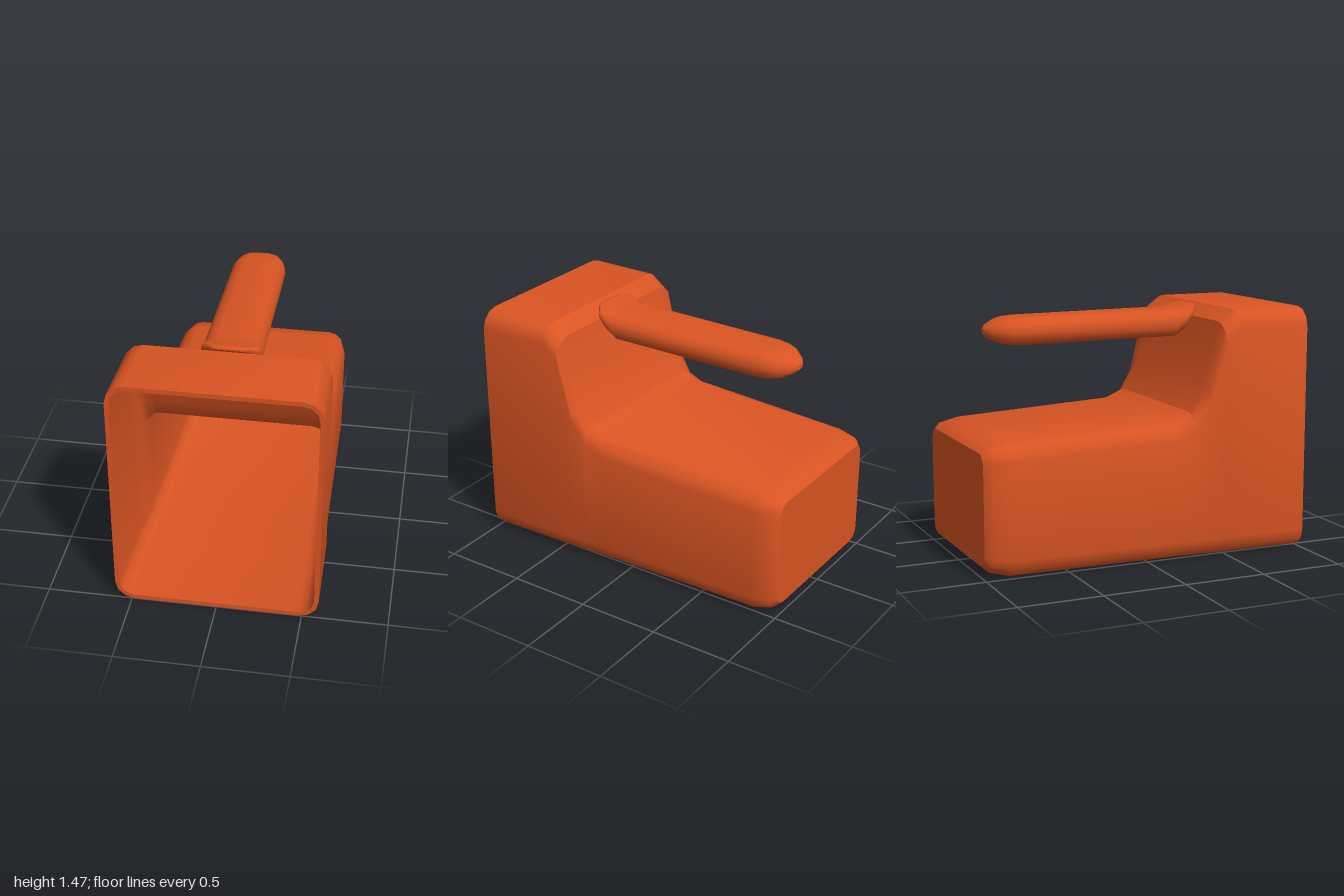
import * as THREE from 'three';
import { toCreasedNormals } from 'three/addons/utils/BufferGeometryUtils.js';

const CORNER_STEPS = 3;

// Rounded rectangle ring at depth z, counter-clockwise as seen from +z
function ring([z, halfWidth, bottom, top, radius]) {
  const r = Math.min(radius, halfWidth, (top - bottom) / 2);
  const corners = [
    [halfWidth - r, bottom + r, -Math.PI / 2],
    [halfWidth - r, top - r, 0],
    [r - halfWidth, top - r, Math.PI / 2],
    [r - halfWidth, bottom + r, Math.PI],
  ];
  const points = [];
  for (const [cx, cy, start] of corners) {
    for (let i = 0; i <= CORNER_STEPS; i++) {
      const a = start + (i / CORNER_STEPS) * Math.PI / 2;
      points.push([cx + r * Math.cos(a), cy + r * Math.sin(a), z]);
    }
  }
  return points;
}

// Skin through the cross-sections, closed by a flat cap at each end
function loft(sections) {
  const rings = sections.map(ring);
  const n = rings[0].length;
  const index = [];
  for (let s = 0; s < rings.length - 1; s++) {
    for (let i = 0; i < n; i++) {
      const j = (i + 1) % n;
      const a = s * n + i, b = s * n + j;
      index.push(a, b, b + n, a, b + n, a + n);
    }
  }
  const last = (rings.length - 1) * n;
  for (let i = 1; i < n - 1; i++) {
    index.push(0, i + 1, i, last, last + i, last + i + 1);
  }
  const geometry = new THREE.BufferGeometry();
  geometry.setAttribute('position', new THREE.Float32BufferAttribute(rings.flat(2), 3));
  geometry.setIndex(index);
  return toCreasedNormals(geometry, THREE.MathUtils.degToRad(35));
}

// Sections: z, half width, bottom, top, corner radius
const outerSections = [
  [-1.0, 0.475, 0.065, 0.72, 0.07],
  [-0.96, 0.515, 0.03, 0.755, 0.09],
  [-0.85, 0.54, 0.0, 0.78, 0.11],
  [0.17, 0.563, 0.0, 0.828, 0.11],
  [0.28, 0.567, 0.0, 0.875, 0.11],
  [0.375, 0.575, 0.0, 1.03, 0.11],
  [0.465, 0.583, 0.0, 1.4, 0.115],
  [0.56, 0.586, 0.0, 1.47, 0.115],
  [1.0, 0.597, 0.0, 1.47, 0.115],
];
const innerSections = [
  [1.0, 0.57, 0.027, 1.443, 0.09],
  [0.57, 0.56, 0.027, 1.443, 0.09],
  [0.49, 0.557, 0.027, 1.378, 0.09],
  [0.4, 0.549, 0.027, 1.005, 0.085],
  [0.3, 0.541, 0.027, 0.85, 0.085],
  [0.18, 0.537, 0.027, 0.802, 0.085],
  [-0.84, 0.514, 0.027, 0.755, 0.085],
  [-0.94, 0.495, 0.045, 0.74, 0.075],
  [-0.975, 0.475, 0.057, 0.728, 0.06],
];
const handleSections = [
  [-0.825, 0.03, 1.335, 1.365, 0.015],
  [-0.8, 0.075, 1.31, 1.39, 0.04],
  [-0.74, 0.13, 1.282, 1.417, 0.068],
  [-0.69, 0.153, 1.274, 1.427, 0.077],
  [-0.62, 0.167, 1.27, 1.432, 0.081],
  [0.36, 0.175, 1.277, 1.44, 0.081],
  [0.42, 0.175, 1.33, 1.448, 0.059],
  [0.465, 0.165, 1.395, 1.46, 0.032],
  [0.5, 0.115, 1.435, 1.47, 0.017],
  [0.52, 0.08, 1.453, 1.463, 0.005],
];

export function createModel() {
  const group = new THREE.Group();
  const orange = new THREE.MeshStandardMaterial({ color: 0xd95423 });
  orange.name = 'orange plastic';

  const addPart = (name, sections) => {
    const mesh = new THREE.Mesh(loft(sections), orange);
    mesh.name = name;
    group.add(mesh);
  };

  // Hollow body: outside skin, front rim and cavity in one run
  addPart('scoopBody', [...outerSections, ...innerSections]);
  // Grip reaching back from the top of the step
  addPart('handle', handleSections);
  return group;
}
